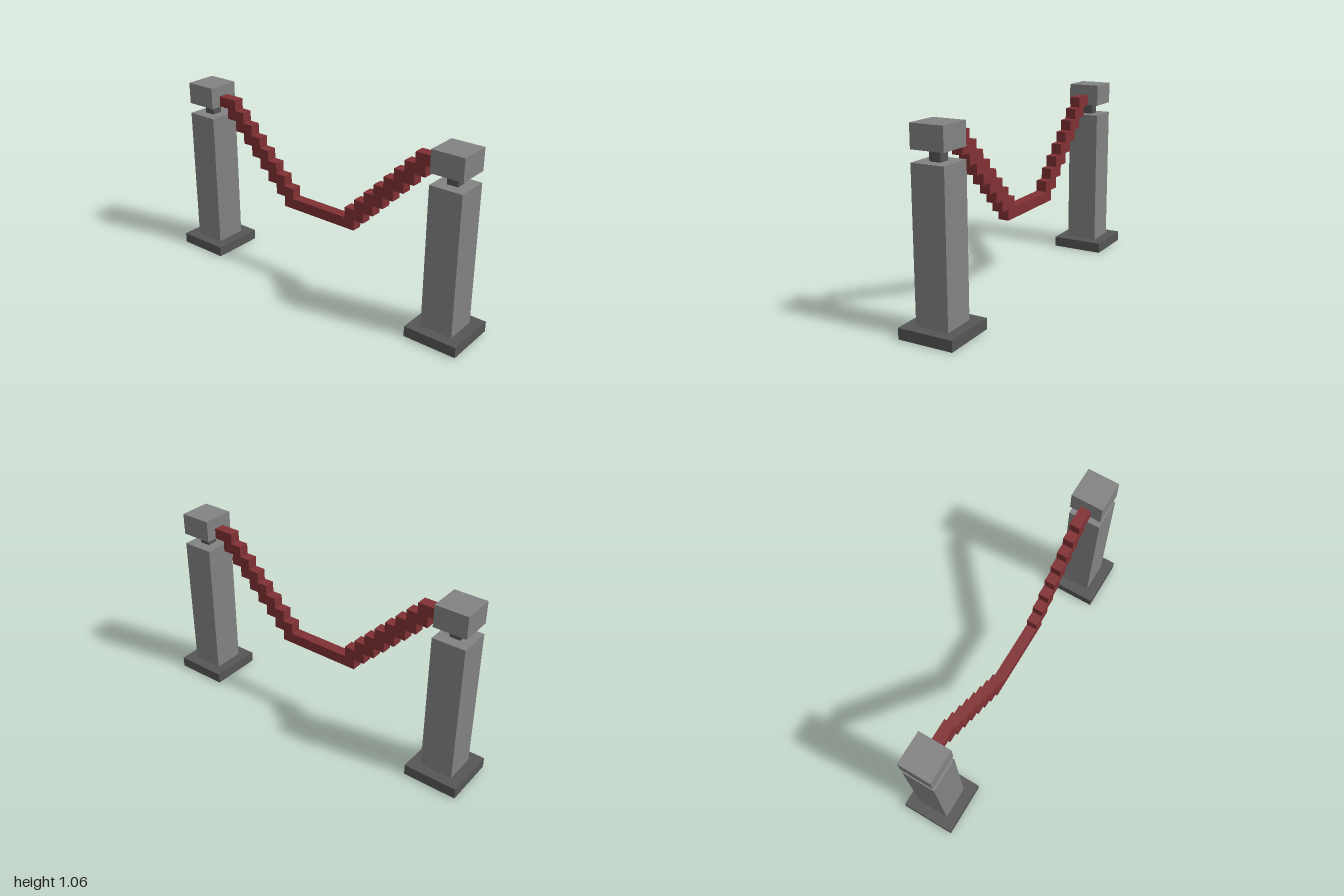
import * as THREE from 'three';

const U = 1 / 16; // block unit

export function createModel() {
  const stone = new THREE.MeshStandardMaterial({ color: 0x828282 });
  stone.name = 'light grey';
  const dark = new THREE.MeshStandardMaterial({ color: 0x555555 });
  dark.name = 'dark grey';
  const red = new THREE.MeshStandardMaterial({ color: 0x803033 });
  red.name = 'rope red';

  const model = new THREE.Group();
  model.name = 'ropeBarrier';

  // Box given by its width, depth, bottom and top, in block units
  function block(parent, name, material, x, width, depth, bottom, top) {
    const mesh = new THREE.Mesh(new THREE.BoxGeometry(width * U, (top - bottom) * U, depth * U), material);
    mesh.position.set(x * U, ((bottom + top) / 2) * U, 0);
    mesh.name = name;
    parent.add(mesh);
  }

  // Rounded square pad under each base
  const h = 1.5 * U, r = 0.9 * U;
  const pad = new THREE.Shape();
  pad.moveTo(-h + r, -h);
  pad.lineTo(h - r, -h);
  pad.quadraticCurveTo(h, -h, h, -h + r);
  pad.lineTo(h, h - r);
  pad.quadraticCurveTo(h, h, h - r, h);
  pad.lineTo(-h + r, h);
  pad.quadraticCurveTo(-h, h, -h, h - r);
  pad.lineTo(-h, -h + r);
  pad.quadraticCurveTo(-h, -h, -h + r, -h);
  const padGeometry = new THREE.ShapeGeometry(pad, 6).rotateX(Math.PI / 2);

  for (const side of [-1, 1]) {
    // Post: base, shaft, neck and cap
    const post = new THREE.Group();
    post.name = side > 0 ? 'leftPost' : 'rightPost';
    const x = side * 13.5;
    block(post, 'base', dark, x, 5, 5, 0.03, 1);
    block(post, 'shaft', stone, x, 3, 3, 1, 14);
    block(post, 'neck', dark, x, 1, 1, 14, 15);
    block(post, 'cap', stone, x, 3, 3, 15, 17);
    const foot = new THREE.Mesh(padGeometry, stone);
    foot.name = 'footPad';
    foot.position.x = x * U;
    post.add(foot);
    model.add(post);

    // Rope steps down from the cap towards the middle
    const rope = new THREE.Group();
    rope.name = side > 0 ? 'leftRope' : 'rightRope';
    for (let i = 0; i < 8; i++) block(rope, 'ropeStep', red, side * (11 - i), 2, 1, 15 - i, 16 - i);
    model.add(rope);
  }

  // Level middle of the rope
  block(model, 'ropeMiddle', red, 0, 8, 1, 7, 8);
  return model;
}
